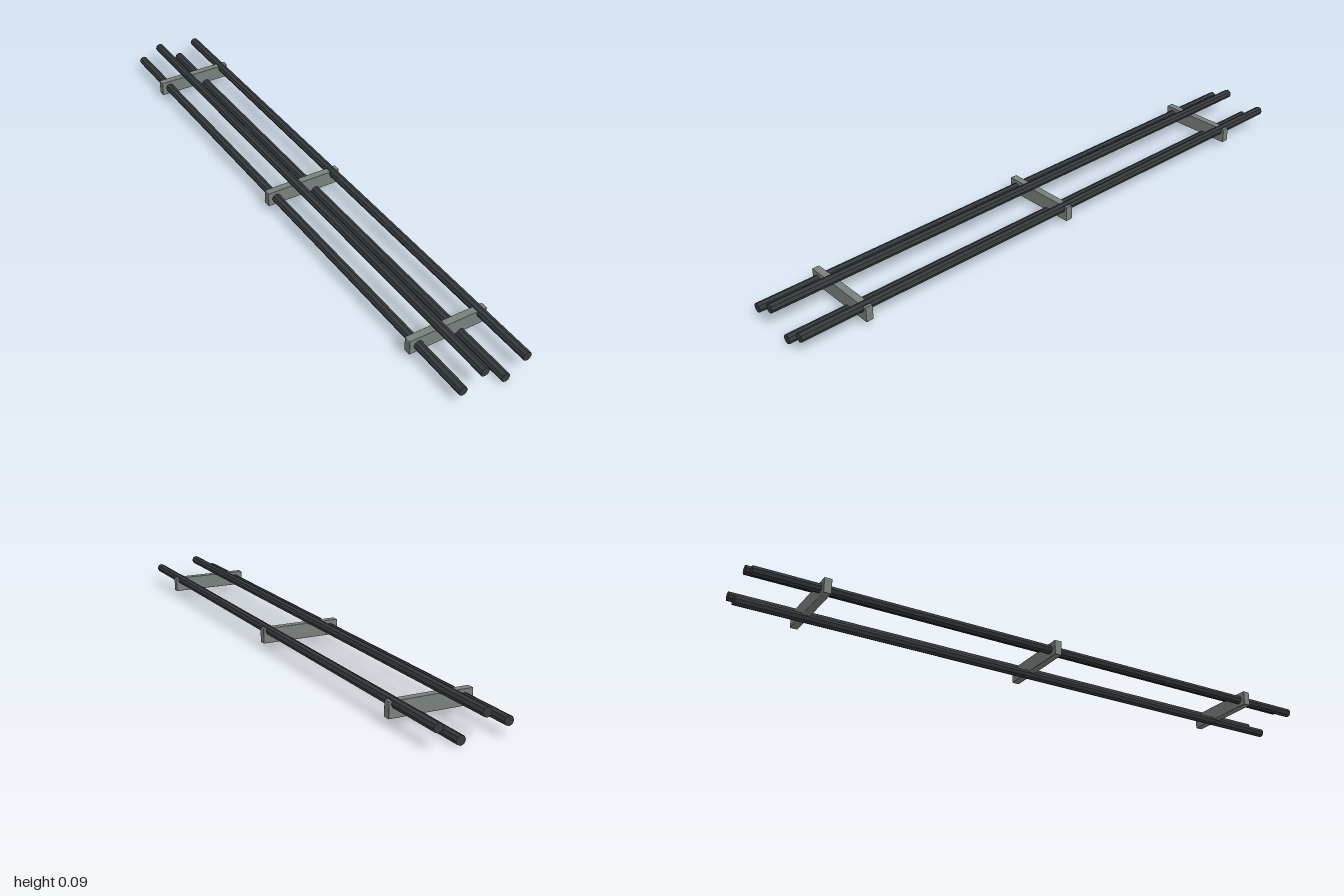
import * as THREE from 'three';
import { RoundedBoxGeometry } from 'three/addons/geometries/RoundedBoxGeometry.js';

export function createModel() {
  const group = new THREE.Group();
  const rodMaterial = new THREE.MeshStandardMaterial({ color: 0x34393c, flatShading: true });
  const spacerMaterial = new THREE.MeshStandardMaterial({ color: 0x78807c });

  // Four long octagonal rods running along z at staggered heights
  const rodGeometry = new THREE.CylinderGeometry(0.015, 0.015, 2, 8).rotateX(Math.PI / 2);
  const rodCentres = [[-0.105, 0.043], [-0.035, 0.078], [0.043, 0.015], [0.112, 0.06]];
  rodCentres.forEach(([x, y], i) => {
    const rod = new THREE.Mesh(rodGeometry, rodMaterial);
    rod.name = `rod${i + 1}`;
    rod.position.set(x, y, 0);
    group.add(rod);
  });

  // Three flat cross plates holding the rods together
  const spacerGeometry = new RoundedBoxGeometry(0.268, 0.05, 0.025, 1, 0.002);
  [-0.783, 0, 0.783].forEach((z, i) => {
    const spacer = new THREE.Mesh(spacerGeometry, spacerMaterial);
    spacer.name = `spacer${i + 1}`;
    spacer.position.set(0, 0.043, z);
    group.add(spacer);
  });

  return group;
}
